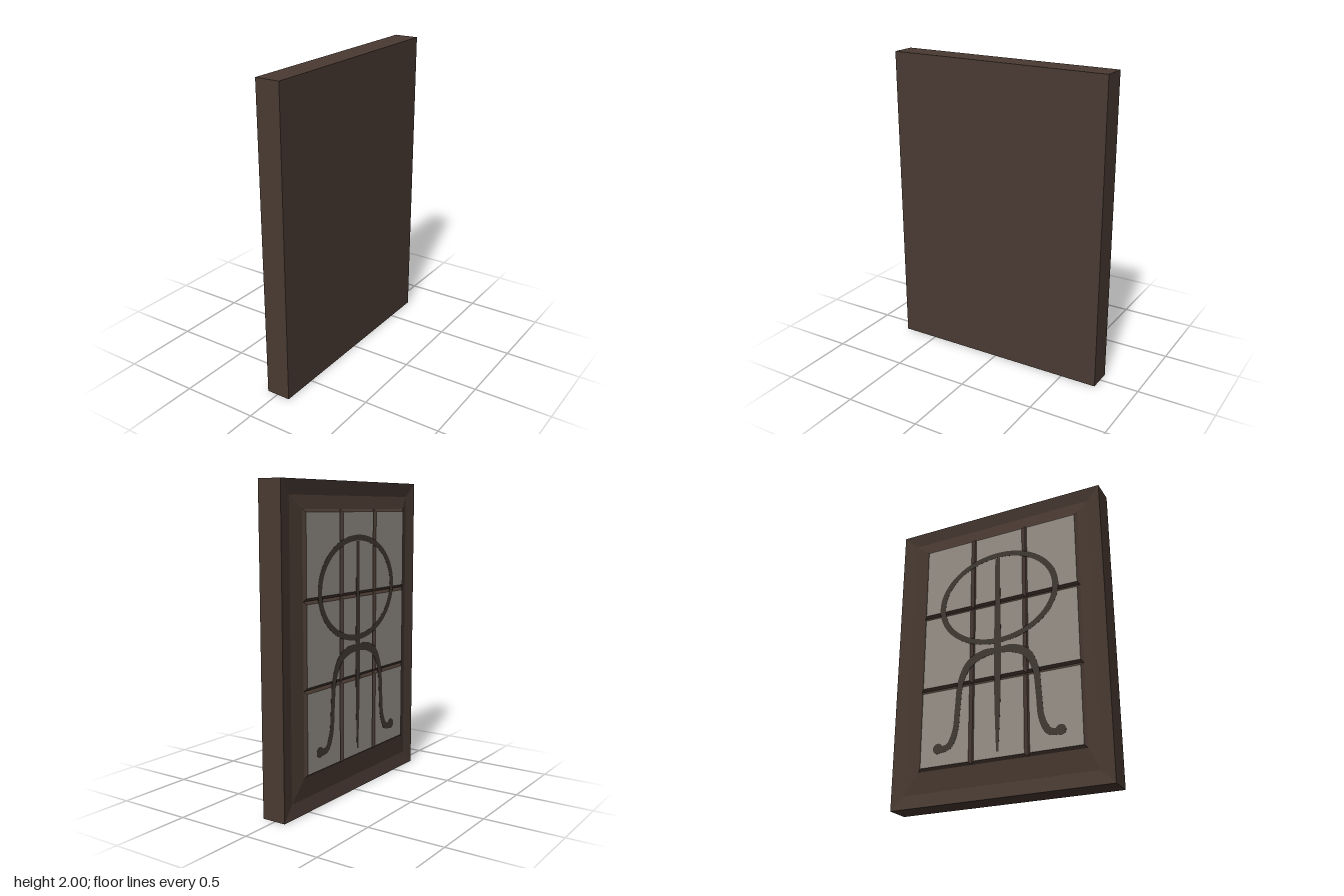
import * as THREE from 'three';

const wood = new THREE.MeshStandardMaterial({ color: 0x4a3b33 });
wood.name = 'dark brown wood';
const pale = new THREE.MeshStandardMaterial({ color: 0x989189 });
pale.name = 'warm grey pane';
const dark = new THREE.MeshStandardMaterial({ color: 0x423a33 });
dark.name = 'dark inlay';

// Rectangle in the zy plane, counter-clockwise as seen from -x
const rect = (x, z0, z1, y0, y1) => [[x, y0, z0], [x, y0, z1], [x, y1, z1], [x, y1, z0]];
const inset = (x, [z0, z1, y0, y1], d) => rect(x, z0 + d, z1 - d, y0 + d, y1 - d);

function facets(quads) {
  const pos = [];
  for (const [a, b, c, d] of quads) pos.push(...a, ...b, ...c, ...a, ...c, ...d);
  const g = new THREE.BufferGeometry();
  g.setAttribute('position', new THREE.Float32BufferAttribute(pos, 3));
  g.computeVertexNormals();
  return g;
}

// Walls joining successive rectangles that run toward -x
function walls(loops) {
  const quads = [];
  for (let k = 0; k + 1 < loops.length; k++) {
    const a = loops[k], b = loops[k + 1];
    for (let i = 0; i < 4; i++) {
      const j = (i + 1) % 4;
      quads.push([a[i], a[j], b[j], b[i]]);
    }
  }
  return quads;
}

function add(parent, name, geometry, material) {
  const m = new THREE.Mesh(geometry, material);
  m.name = name;
  parent.add(m);
  return m;
}

// Tapering ribbon outline along a smooth curve; points are [z, y, width]
function ribbon(points, steps = 40) {
  const curve = new THREE.CatmullRomCurve3(points.map(p => new THREE.Vector3(...p)));
  const left = [], right = [];
  for (let i = 0; i <= steps; i++) {
    const p = curve.getPoint(i / steps), t = curve.getTangent(i / steps);
    const l = Math.hypot(t.x, t.y) || 1, h = p.z / 2;
    left.push(new THREE.Vector2(p.x - t.y / l * h, p.y + t.x / l * h));
    right.unshift(new THREE.Vector2(p.x + t.y / l * h, p.y - t.x / l * h));
  }
  return new THREE.Shape([...left, ...right]);
}

export function createModel() {
  const model = new THREE.Group();
  model.name = 'framedPanel';
  const RIM = -0.073, PANE = -0.087;
  const outer = [-0.74, 0.74, 0, 2];
  const field = [-0.545, 0.585, 0.225, 1.83];

  // Slab with a shallow mitred valley round the raised field
  const back = inset(0.088, outer, 0);
  const base = inset(RIM, field, 0);
  add(model, 'frame', facets([
    [...back].reverse(),
    ...walls([back, inset(RIM, outer, 0), inset(RIM + 0.014, outer, 0.09), base]),
    base,
  ]), wood);

  // Three by three chamfered tiles with pale faces
  const bevels = [], faces = [];
  const dz = (field[1] - field[0]) / 3, dy = (field[3] - field[2]) / 3;
  for (let r = 0; r < 3; r++) {
    for (let c = 0; c < 3; c++) {
      const z = field[0] + c * dz, y = field[2] + r * dy;
      const cell = [z, z + dz, y, y + dy];
      const top = inset(PANE, cell, 0.018);
      bevels.push(...walls([inset(RIM, cell, 0), top]));
      faces.push(top);
    }
  }
  add(model, 'paneChamfers', facets(bevels), wood);
  add(model, 'panes', facets(faces), pale);

  // Curved tracery laid thinly on the panes
  const tracery = new THREE.Group();
  tracery.name = 'tracery';
  tracery.position.x = PANE + 0.001;
  tracery.rotation.y = -Math.PI / 2;
  model.add(tracery);
  const inlay = (name, shape) => add(tracery, name, new THREE.ExtrudeGeometry(shape,
    { depth: 0.002, bevelEnabled: false, curveSegments: 32 }), dark);
  const mid = 0.012;

  const oval = new THREE.Shape().absellipse(mid, 1.335, 0.43, 0.335, 0, Math.PI * 2);
  oval.holes.push(new THREE.Path().absellipse(mid, 1.335, 0.388, 0.298, 0, Math.PI * 2, true));
  inlay('ovalRing', oval);

  inlay('centreStem', ribbon([
    [mid, 1.63, 0.035], [mid, 1.3, 0.04], [mid, 0.95, 0.05], [mid, 0.6, 0.04], [mid, 0.28, 0.015],
  ]));

  // Mirrored arch halves ending in a rounded curl
  for (const s of [-1, 1]) {
    const side = s < 0 ? 'Back' : 'Front';
    const path = [
      [0, 0.95, 0.04], [0.1, 0.945, 0.055], [0.2, 0.895, 0.055], [0.26, 0.78, 0.045],
      [0.28, 0.6, 0.04], [0.295, 0.45, 0.042], [0.34, 0.36, 0.045], [0.415, 0.345, 0.04],
    ].map(([z, y, w]) => [mid + s * z, y, w]);
    inlay('arch' + side, ribbon(path));
    inlay('curl' + side, new THREE.Shape().absellipse(mid + s * 0.415, 0.355, 0.034, 0.034, 0, Math.PI * 2));
  }
  return model;
}
